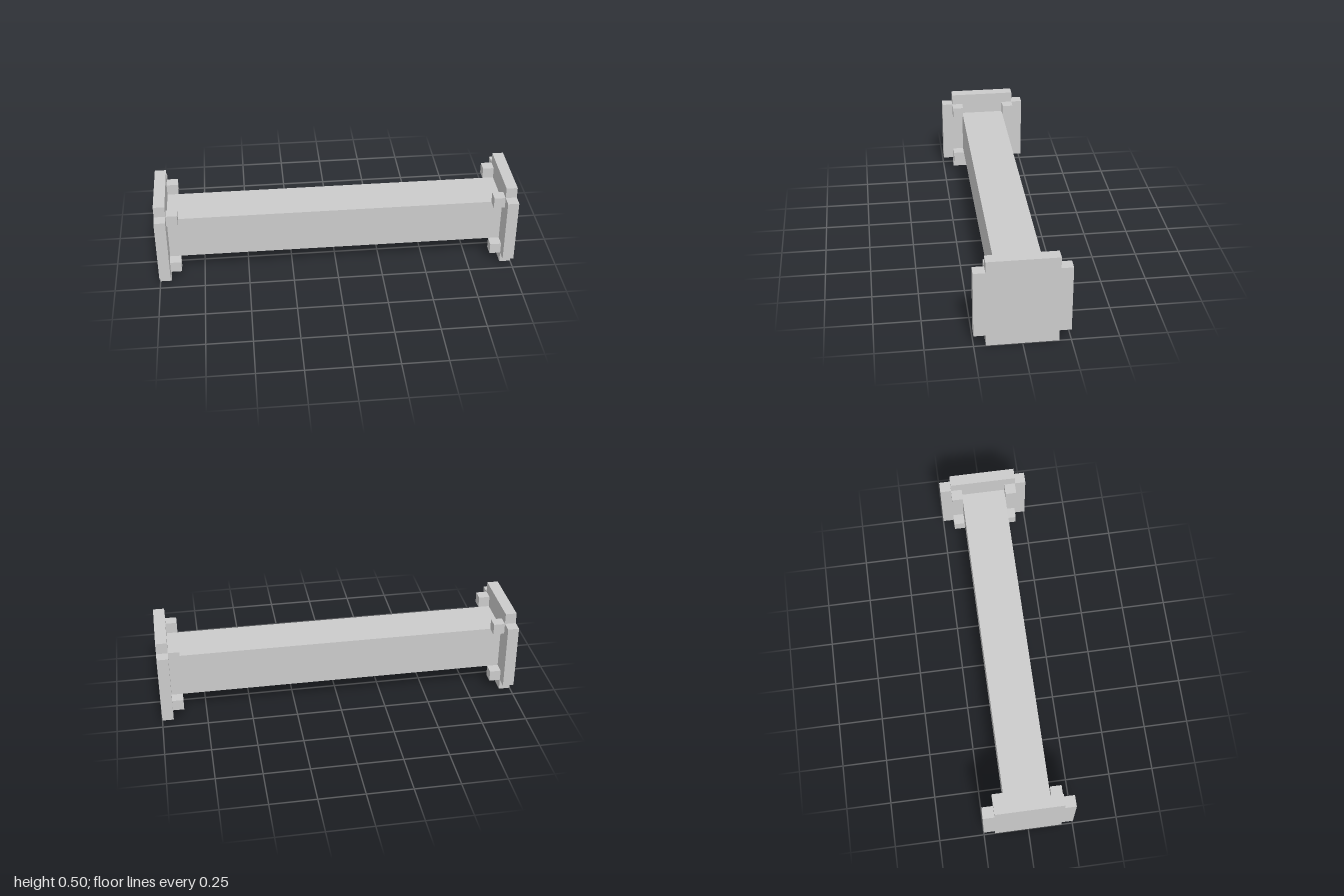
import * as THREE from 'three';

const U = 1 / 16; // block unit
const MID = 4 * U; // height of the beam's axis

export function createModel() {
  const group = new THREE.Group();
  const material = new THREE.MeshStandardMaterial({ color: 0xcccccc, flatShading: true });

  const add = (name, geometry, x, y, z) => {
    const mesh = new THREE.Mesh(geometry, material);
    mesh.name = name;
    mesh.position.set(x, y, z);
    group.add(mesh);
  };

  // Square beam between the end plates
  add('beam', new THREE.BoxGeometry(30 * U, 4 * U, 4 * U), 0, MID, 0);

  // Square plate outline with notched corners
  const a = 4 * U, b = 3 * U;
  const outline = new THREE.Shape([
    [b, -a], [b, -b], [a, -b], [a, b], [b, b], [b, a],
    [-b, a], [-b, b], [-a, b], [-a, -b], [-b, -b], [-b, -a],
  ].map(([x, y]) => new THREE.Vector2(x, y)));
  const plate = new THREE.ExtrudeGeometry(outline, { depth: U, bevelEnabled: false });
  plate.translate(0, 0, -U / 2).rotateY(Math.PI / 2);

  // Small cubes at the beam's corners, against the inside of each plate
  const cube = new THREE.BoxGeometry(U, U, U);

  for (const [side, s] of [['left', 1], ['right', -1]]) {
    add(`${side}EndPlate`, plate, s * 15.5 * U, MID, 0);
    for (const sy of [-1, 1]) {
      for (const sz of [-1, 1]) {
        add(`${side}CornerBlock`, cube, s * 14.5 * U, MID + sy * 2.5 * U, sz * 2.5 * U);
      }
    }
  }
  return group;
}
